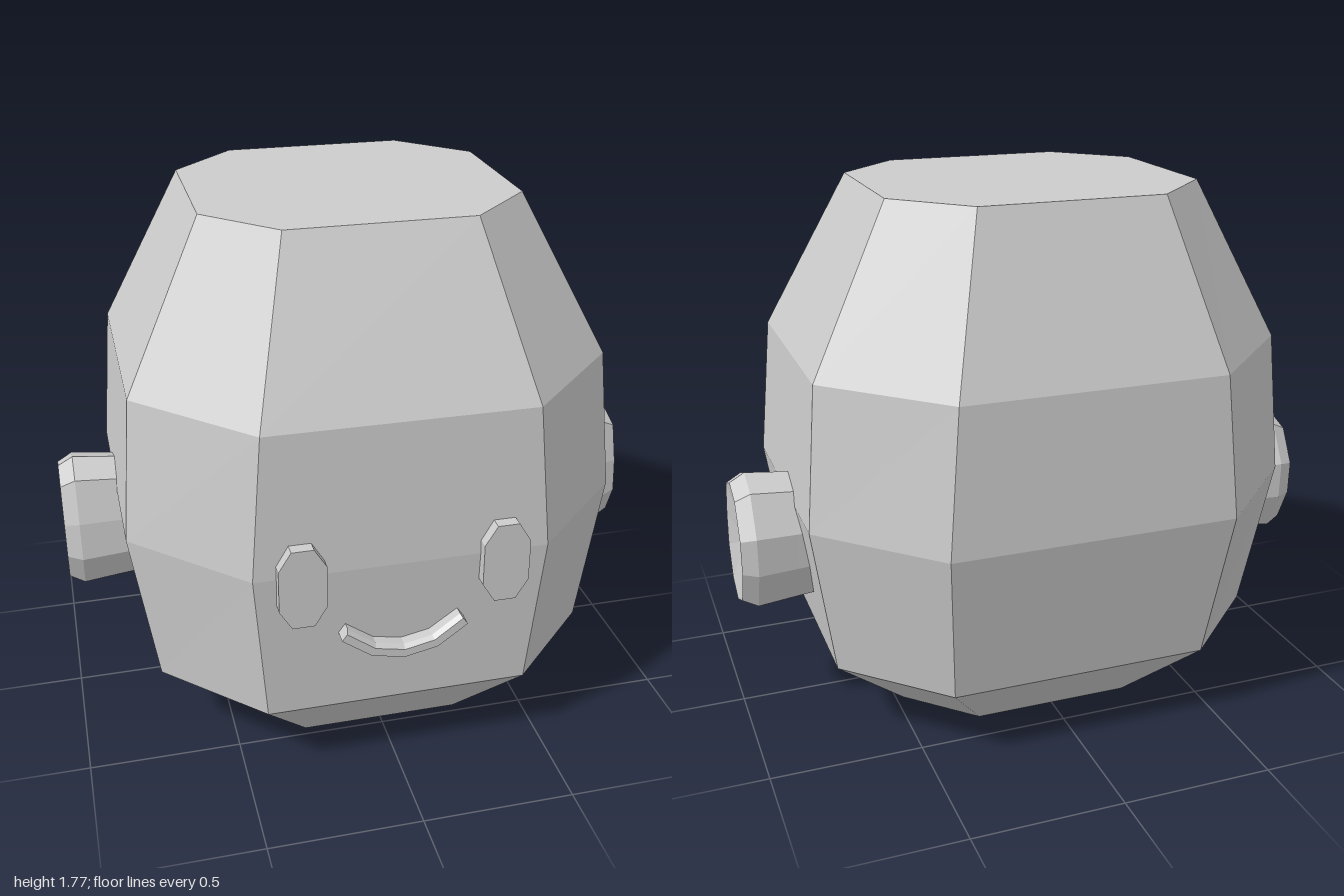
import * as THREE from 'three';

const grey = new THREE.MeshStandardMaterial({ color: 0xcccccc, flatShading: true });
grey.name = 'plain grey';

// Joins rings of equal length into a closed, faceted skin with flat end caps
function loft(rings) {
  const pos = [];
  const tri = (a, b, c) => pos.push(...a, ...b, ...c);
  const n = rings[0].length;
  for (let r = 0; r < rings.length - 1; r++) {
    for (let i = 0; i < n; i++) {
      const j = (i + 1) % n;
      const a = rings[r][i], b = rings[r][j], c = rings[r + 1][j], d = rings[r + 1][i];
      tri(a, b, c);
      tri(a, c, d);
    }
  }
  const first = rings[0], last = rings[rings.length - 1];
  for (let i = 1; i < n - 1; i++) {
    tri(first[0], first[i + 1], first[i]);
    tri(last[0], last[i], last[i + 1]);
  }
  const geometry = new THREE.BufferGeometry();
  geometry.setAttribute('position', new THREE.Float32BufferAttribute(pos, 3));
  geometry.computeVertexNormals();
  return geometry;
}

function part(name, geometry) {
  const mesh = new THREE.Mesh(geometry, grey);
  mesh.name = name;
  return mesh;
}

// Eight-sided head: y, half width, corner x, front z, front corner z, back corner z, back z
function head() {
  const levels = [
    [0, 0.475, 0.265, 0.47, 0.255, -0.18, -0.39],
    [0.26, 0.735, 0.43, 0.69, 0.385, -0.35, -0.65],
    [0.78, 0.815, 0.47, 0.72, 0.385, -0.415, -0.76],
    [1.25, 0.775, 0.43, 0.695, 0.35, -0.395, -0.735],
    [1.77, 0.515, 0.3, 0.425, 0.21, -0.305, -0.525],
  ];
  return loft(levels.map(([y, w, cx, f, cf, cb, b]) => [
    [cx, y, f], [w, y, cf], [w, y, cb], [cx, y, b],
    [-cx, y, b], [-w, y, cb], [-w, y, cf], [-cx, y, f],
  ]));
}

// Ear: ten-sided oval stub with a bevelled rim and a dished face
function ear(side) {
  const outline = [
    [0.87, -0.065], [0.83, 0.038], [0.685, 0.083], [0.555, 0.096], [0.435, 0.043],
    [0.39, -0.055], [0.44, -0.175], [0.575, -0.238], [0.705, -0.242], [0.835, -0.17],
  ];
  const cy = 0.63, cz = -0.07;
  // Distance from the middle and size of each ring
  const steps = [[0.72, 0.9], [0.82, 0.94], [0.95, 1], [1, 0.88], [0.975, 0.4], [0.945, 0.01]];
  return loft(steps.map(([x, s]) => {
    const ring = outline.map(([y, z]) => [side * x, cy + (y - cy) * s, cz + (z - cz) * s]);
    return side > 0 ? ring : ring.reverse();
  }));
}

// Eye: raised eight-sided oval plate
function eye() {
  const shape = new THREE.Shape([
    [0.035, -0.135], [0.075, -0.07], [0.075, 0.07], [0.035, 0.135],
    [-0.035, 0.135], [-0.075, 0.07], [-0.075, -0.07], [-0.035, -0.135],
  ].map(([x, y]) => new THREE.Vector2(x, y)));
  return new THREE.ExtrudeGeometry(shape, { depth: 0.055, bevelEnabled: false });
}

// Smile: bent bar with a bevelled upper edge
function smile() {
  const path = [
    [-0.193, 0.565, -0.6], [-0.1, 0.497, -0.42], [0, 0.476, 0], [0.1, 0.497, 0.42], [0.193, 0.565, 0.6],
  ];
  // Offset across the bar and depth
  const section = [[0.019, 0.7], [0.019, 0.74], [0.009, 0.757], [-0.019, 0.757], [-0.019, 0.7]];
  return loft(path.map(([x, y, lean]) =>
    section.map(([o, z]) => [x - Math.sin(lean) * o, y + Math.cos(lean) * o, z])));
}

export function createModel() {
  const model = new THREE.Group();
  model.name = 'smilingHead';
  model.add(part('head', head()), part('smile', smile()));
  for (const [side, label] of [[1, 'left'], [-1, 'right']]) {
    model.add(part(label + 'Ear', ear(side)));
    const eyePlate = part(label + 'Eye', eye());
    eyePlate.position.set(side * 0.323, 0.755, 0.7);
    model.add(eyePlate);
  }
  return model;
}
